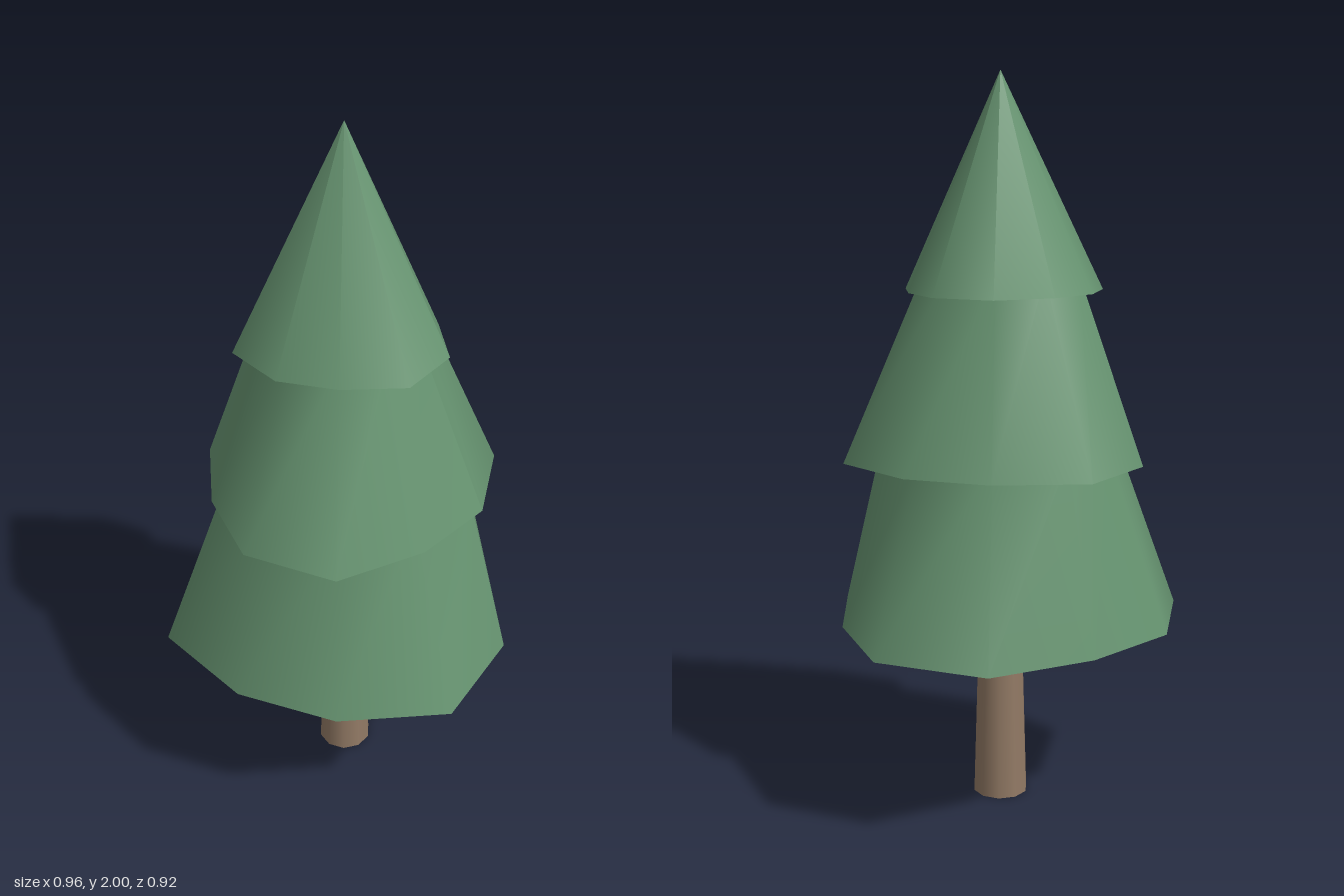
import * as THREE from 'three';

const SIDES = 10;

// Open, slightly irregular frustum: one radius per corner, running from +x towards -z.
function irregularFrustum(lower, upper, y0, y1) {
  const geo = new THREE.CylinderGeometry(upper[0] > 0 ? 1 : 0, 1, y1 - y0, SIDES, 1, true, Math.PI / 2);
  geo.translate(0, (y0 + y1) / 2, 0);
  const pos = geo.attributes.position;
  for (let i = 0; i < pos.count; i++) {
    const corner = i % (SIDES + 1);
    const ring = i <= SIDES ? upper : lower;
    const r = ring[corner % SIDES];
    const a = (corner / SIDES) * Math.PI * 2;
    pos.setX(i, Math.cos(a) * r);
    pos.setZ(i, -Math.sin(a) * r);
  }
  geo.computeVertexNormals();
  return geo;
}

export function createModel() {
  const needles = new THREE.MeshStandardMaterial({ color: 0x669370, side: THREE.DoubleSide });
  needles.name = 'needle green';
  const bark = new THREE.MeshStandardMaterial({ color: 0x927a65, side: THREE.DoubleSide });
  bark.name = 'bark brown';

  const tree = new THREE.Group();
  tree.name = 'tree';

  // Trunk, open at both ends
  const trunk = new THREE.Mesh(
    new THREE.CylinderGeometry(0.058, 0.077, 0.64, SIDES, 1, true, Math.PI / 2), bark);
  trunk.name = 'trunk';
  trunk.position.set(0, 0.32, 0.022);
  tree.add(trunk);

  // Three overlapping skirts of foliage
  const tiers = [
    {
      name: 'lowerFoliage', y0: 0.52, y1: 1.02,
      lower: [0.48, 0.445, 0.506, 0.506, 0.445, 0.48, 0.52, 0.463, 0.463, 0.52],
      upper: [0.35, 0.33, 0.33, 0.33, 0.32, 0.305, 0.33, 0.34, 0.34, 0.33],
    },
    {
      name: 'middleFoliage', y0: 0.975, y1: 1.48,
      lower: [0.39, 0.433, 0.389, 0.375, 0.426, 0.405, 0.368, 0.411, 0.425, 0.372],
      upper: [0.19, 0.21, 0.21, 0.2, 0.21, 0.22, 0.2, 0.22, 0.22, 0.2],
    },
    {
      name: 'topFoliage', y0: 1.425, y1: 2,
      lower: [0.28, 0.251, 0.274, 0.289, 0.258, 0.26, 0.29, 0.267, 0.248, 0.286],
      upper: new Array(SIDES).fill(0),
    },
  ];
  for (const t of tiers) {
    const mesh = new THREE.Mesh(irregularFrustum(t.lower, t.upper, t.y0, t.y1), needles);
    mesh.name = t.name;
    mesh.position.z = 0.02;
    tree.add(mesh);
  }
  return tree;
}
